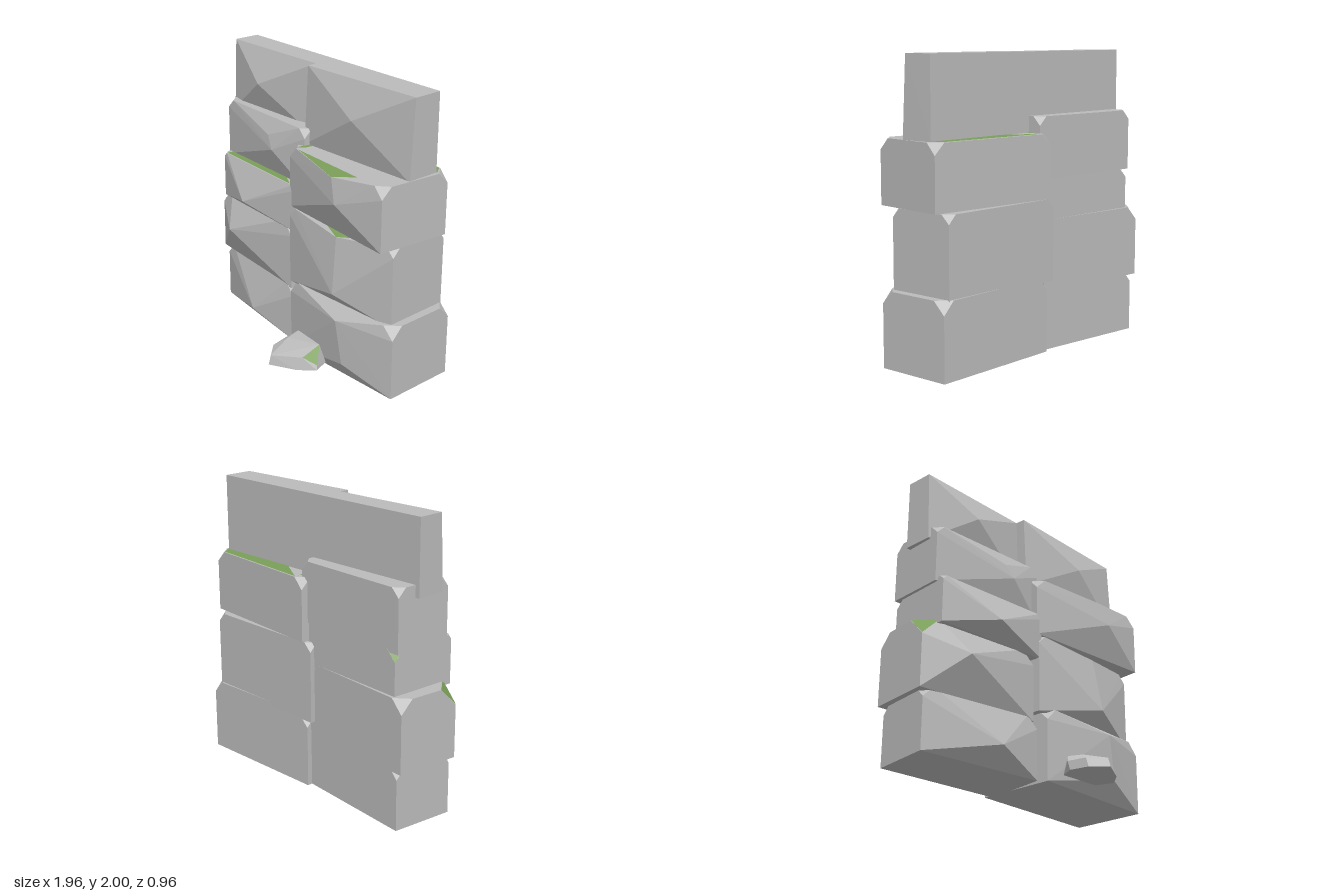
import * as THREE from 'three';
import { ConvexGeometry } from 'three/addons/geometries/ConvexGeometry.js';

const stone = new THREE.MeshStandardMaterial({ color: 0xbbbbbb });
stone.name = 'grey stone';
const moss = new THREE.MeshStandardMaterial({ color: 0x7b9f59 });
moss.name = 'green moss';

const V = (p) => new THREE.Vector3(...p);

// Faceted solid around a handful of points
function hull(points, name) {
  const mesh = new THREE.Mesh(new ConvexGeometry(points), stone);
  mesh.name = name;
  return mesh;
}

// Thin moss facet just above a stone face, always facing upward
function mossPatch(corners) {
  const normal = new THREE.Triangle(...corners.slice(0, 3)).getNormal(new THREE.Vector3());
  const list = normal.y < 0 ? [...corners].reverse() : corners;
  if (normal.y < 0) normal.negate();
  const raised = list.map((p) => p.clone().addScaledVector(normal, 0.003));
  const triangles = [];
  for (let i = 1; i < raised.length - 1; i++) triangles.push(raised[0], raised[i], raised[i + 1]);
  const geometry = new THREE.BufferGeometry().setFromPoints(triangles);
  geometry.computeVertexNormals();
  const mesh = new THREE.Mesh(geometry, moss);
  mesh.name = 'mossPatch';
  return mesh;
}

// Rough block: x and y ranges, front z and depth at each end, sides square to the front.
// Top corners are chipped by cut, bulge pushes the front face out to a point,
// lean moves the foot of the front face forward.
function block({ name, x, y, z, depth, bulge, brow, cut = 0.05, lean = 0, mossChip, ledge, topMoss = [] }) {
  const group = new THREE.Group();
  group.name = name;
  const slope = (z[1] - z[0]) / (x[1] - x[0]);

  // Point across the width (t), back through the depth (d), at a height
  const at = (t, d, height = y[1]) => {
    const back = d * THREE.MathUtils.lerp(depth[0], depth[1], t);
    return new THREE.Vector3(
      THREE.MathUtils.lerp(x[0], x[1], t) + back * slope,
      height,
      THREE.MathUtils.lerp(z[0], z[1], t) - back,
    );
  };

  const points = [V(bulge)];
  if (brow) points.push(V(brow));
  const corners = [at(0, 0), at(1, 0), at(1, 1), at(0, 1)];
  corners.forEach((top, i) => {
    const foot = top.clone().setY(y[0]);
    if (i < 2) foot.z += lean;
    points.push(foot);
    const mossy = mossChip?.corner === i;
    const size = mossy ? mossChip.size : cut;
    const chip = [1, 3].map((step) => {
      const toward = corners[(i + step) % 4].clone().sub(top).normalize();
      return top.clone().addScaledVector(toward, size);
    });
    chip.push(top.clone().setY(y[1] - size));
    points.push(...chip);
    if (mossy) group.add(mossPatch(chip));
  });

  // Sloping mossy ledge on the top front edge
  if (ledge) {
    const [start, end, tip] = ledge;
    const facet = [at(start, 0), at(end, 0), at(tip, -0.12, y[1] - 0.04)];
    points.push(...facet);
    group.add(mossPatch(facet));
  }
  for (const patch of topMoss) group.add(mossPatch(patch.map(([t, d]) => at(t, d))));
  group.add(hull(points, 'stoneBlock'));
  return group;
}

// Each column runs from bottom to top
const rightColumn = [
  {
    name: 'lowerBlockRight', x: [-0.945, -0.045], y: [0, 0.43], z: [-0.04, 0.07], depth: [0.43, 0.46],
    bulge: [-0.42, 0.13, 0.14], cut: 0.08,
  },
  {
    name: 'secondBlockRight', x: [-0.98, -0.07], y: [0.4, 0.89], z: [-0.03, 0.06], depth: [0.45, 0.46],
    bulge: [-0.7, 0.66, 0.13], cut: 0.09, mossChip: { corner: 0, size: 0.13 },
  },
  {
    name: 'thirdBlockRight', x: [-0.875, -0.01], y: [0.86, 1.19], z: [0.03, 0.08], depth: [0.48, 0.48],
    bulge: [-0.48, 0.96, 0.17], cut: 0.03, mossChip: { corner: 3, size: 0.08 },
    topMoss: [[[0.04, 0.01], [0.93, 0.01], [0.66, 0.25], [0.05, 0.18]]],
  },
  {
    name: 'fourthBlockRight', x: [-0.89, 0.015], y: [1.165, 1.58], z: [-0.03, 0.01], depth: [0.42, 0.42],
    bulge: [-0.27, 1.38, 0.07], brow: [-0.33, 1.47, 0.05], cut: 0.06,
  },
  {
    name: 'topBlockRight', x: [-0.905, -0.04], y: [1.5, 2], z: [-0.12, -0.135], depth: [0.19, 0.175],
    bulge: [-0.53, 1.77, -0.02], cut: 0, lean: 0.02,
  },
];
const leftColumn = [
  {
    name: 'lowerBlockLeft', x: [0, 0.977], y: [0, 0.51], z: [0.12, 0.08], depth: [0.55, 0.53],
    bulge: [0.6, 0.13, 0.18], brow: [0.55, 0.44, 0.195], cut: 0.085,
  },
  {
    name: 'secondBlockLeft', x: [-0.045, 0.92], y: [0.48, 1.035], z: [0.09, 0.04], depth: [0.53, 0.475],
    bulge: [0.5, 0.61, 0.18], cut: 0.06, ledge: [0.35, 0.77, 0.53],
  },
  {
    name: 'thirdBlockLeft', x: [-0.055, 0.918], y: [1.04, 1.47], z: [0.08, 0.15], depth: [0.54, 0.53],
    bulge: [0.55, 1.27, 0.215], cut: 0.075, ledge: [0.1, 0.75, 0.56],
    topMoss: [
      [[0.08, 0.99], [0.92, 0.99], [0.98, 0.86], [0.37, 0.72]],
      [[0.08, 0.95], [0.05, 0.7], [0.06, 0.03], [0.1, 0.1], [0.1, 0.7]],
    ],
  },
  {
    name: 'topBlockLeft', x: [-0.04, 0.929], y: [1.46, 2], z: [-0.065, -0.1], depth: [0.245, 0.21],
    bulge: [0.47, 1.76, 0.01], cut: 0, lean: 0.03,
  },
];

// Small loose rock: a flat outline, a shoulder and a mossy top corner
function looseRock() {
  const group = new THREE.Group();
  group.name = 'looseRock';
  const outline = [[0.07, 0.25], [0.1, 0.38], [0.2, 0.48], [0.38, 0.38], [0.47, 0.28], [0.42, 0.16], [0.12, 0.15]];
  const points = outline.map(([x, z]) => new THREE.Vector3(x, 0.06, z));
  for (const [x, z] of outline.slice(0, 3)) points.push(new THREE.Vector3(x, 0.125, z - 0.02));
  const facet = [[0.4, 0.2, 0.2], [0.39, 0.145, 0.34], [0.46, 0.09, 0.27]].map(V);
  points.push(...facet, V([0.14, 0.19, 0.17]), V([0.16, 0.18, 0.28]));
  group.add(hull(points, 'rockBody'), mossPatch(facet));
  return group;
}

export function createModel() {
  const wall = new THREE.Group();
  wall.name = 'stoneWall';
  for (const spec of [...rightColumn, ...leftColumn]) wall.add(block(spec));
  wall.add(looseRock());
  return wall;
}
